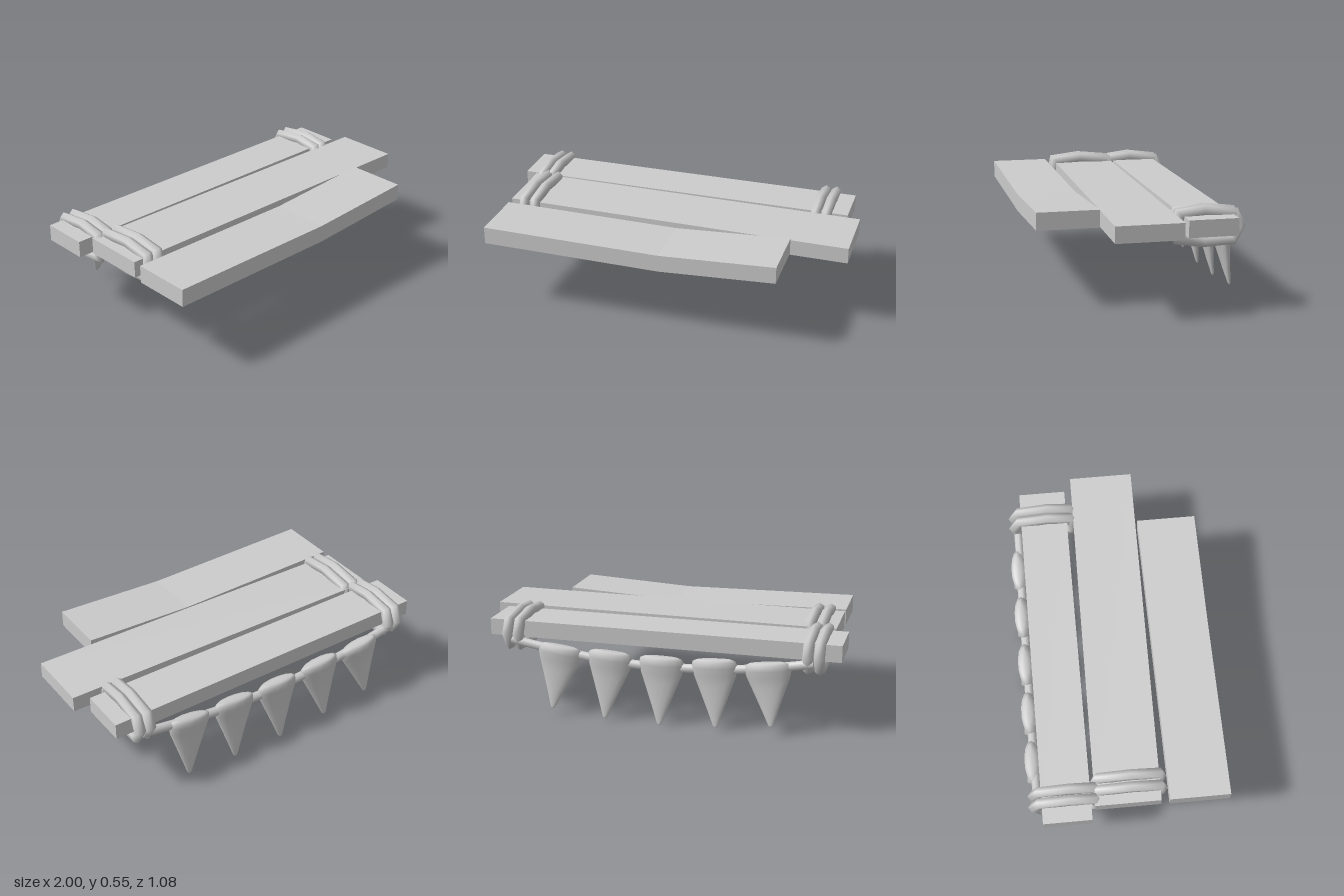
import * as THREE from 'three';

const material = new THREE.MeshStandardMaterial({ color: 0xcccccc });

// Skin a list of equal-sized rings of [x, y, z] points.
function loft(rings, { closed = false, flat = false } = {}) {
  const n = rings[0].length, m = rings.length, index = [];
  for (let i = 0; i < (closed ? m : m - 1); i++) {
    for (let j = 0; j < n; j++) {
      const k = (j + 1) % n, next = (i + 1) % m;
      const a = i * n + j, b = i * n + k, c = next * n + k, d = next * n + j;
      index.push(a, b, c, a, c, d);
    }
  }
  if (!closed) {
    const e = (m - 1) * n;
    for (let j = 1; j < n - 1; j++) index.push(0, j + 1, j, e, e + j, e + j + 1);
  }
  let geometry = new THREE.BufferGeometry();
  geometry.setAttribute('position', new THREE.Float32BufferAttribute(rings.flat(2), 3));
  geometry.setIndex(index);
  if (flat) geometry = geometry.toNonIndexed();
  geometry.computeVertexNormals();
  return geometry;
}

// Plank through sections [x, bottom, top, back z, front z].
function plank(sections) {
  return loft(sections.map(([x, y0, y1, z0, z1]) =>
    [[x, y1, z1], [x, y0, z1], [x, y0, z0], [x, y1, z0]]), { flat: true });
}

// Mitred rope loop at a given x; path is [z, y] points running backwards along the top.
function ropeLoop(x, path, radius = 0.03, sides = 6) {
  const count = path.length;
  const rings = path.map(([z, y], i) => {
    const p = new THREE.Vector2(z, y);
    const t1 = p.clone().sub(new THREE.Vector2(...path[(i + count - 1) % count])).normalize();
    const t2 = new THREE.Vector2(...path[(i + 1) % count]).sub(p).normalize();
    const t = t1.clone().add(t2).normalize();
    const r = radius / t.dot(t2);
    return Array.from({ length: sides }, (_, j) => {
      const a = j / sides * Math.PI * 2, out = r * Math.cos(a);
      return [x + radius * Math.sin(a), y - t.x * out, z + t.y * out];
    });
  });
  return loft(rings, { closed: true });
}

// Flattened fang hanging from its top, sections [drop, half width, half depth, z shift].
function fang(length) {
  const sections = [
    [0, 0.09, 0.02, -0.012], [0.012, 0.115, 0.04, -0.008], [0.045, 0.125, 0.05, 0],
    [0.09, 0.115, 0.042, -0.002], [0.15, 0.092, 0.03, -0.012],
    [0.28, 0.043, 0.017, -0.033], [0.36, 0.014, 0.007, -0.047], [0.37, 0.006, 0.003, -0.049],
  ];
  return loft(sections.map(([drop, w, d, z]) => Array.from({ length: 14 }, (_, j) => {
    const a = j / 14 * Math.PI * 2;
    return [w * Math.cos(a), -drop * length / 0.37, z + d * Math.sin(a)];
  })));
}

export function createModel() {
  const model = new THREE.Group();
  const add = (name, geometry) => {
    const mesh = new THREE.Mesh(geometry, material);
    mesh.name = name;
    model.add(mesh);
    return mesh;
  };

  // Three boards, the front one bent
  add('backPlank', plank([
    [-1, 0.405, 0.495, -0.46, -0.2], [0.925, 0.405, 0.495, -0.46, -0.2]]));
  add('middlePlank', plank([
    [-0.93, 0.41, 0.5, -0.18, 0.17], [1, 0.415, 0.502, -0.16, 0.192]]));
  add('frontPlank', plank([
    [-0.93, 0.402, 0.498, 0.215, 0.538], [0.06, 0.39, 0.485, 0.208, 0.531],
    [0.69, 0.425, 0.518, 0.2, 0.527]]));

  // Rope lashings
  const backPath = [[-0.185, 0.5], [-0.31, 0.516], [-0.468, 0.495], [-0.5, 0.43],
    [-0.463, 0.363], [-0.31, 0.355], [-0.18, 0.375], [-0.17, 0.44]];
  const frontPath = [[0.168, 0.507], [0.02, 0.525], [-0.15, 0.507], [-0.165, 0.45],
    [-0.15, 0.38], [0.02, 0.365], [0.162, 0.38], [0.181, 0.44]];
  for (const x of [-0.89, -0.83, 0.75, 0.81]) add('backRopeLoop', ropeLoop(x, backPath));
  for (const x of [-0.85, -0.785]) add('middleRopeLoop', ropeLoop(x, frontPath));

  // Cord sagging behind the back board
  const cord = new THREE.CatmullRomCurve3([
    [-0.86, 0.395, -0.485], [-0.7, 0.365, -0.485], [-0.46, 0.332, -0.49], [-0.2, 0.315, -0.49],
    [0.09, 0.312, -0.49], [0.36, 0.333, -0.49], [0.64, 0.37, -0.485], [0.79, 0.395, -0.485],
  ].map(p => new THREE.Vector3(...p)));
  add('cord', new THREE.TubeGeometry(cord, 32, 0.025, 8));

  // Fangs fanned out along the cord: [x, top, length, tilt]
  for (const [x, y, length, tilt] of [
    [-0.62, 0.388, 0.338, -0.11], [-0.34, 0.382, 0.364, -0.06], [-0.055, 0.372, 0.37, 0],
    [0.227, 0.378, 0.368, 0.06], [0.508, 0.388, 0.35, 0.11],
  ]) {
    const mesh = add('fang', fang(length));
    mesh.position.set(x, y, -0.492);
    mesh.rotation.z = tilt;
  }
  return model;
}
